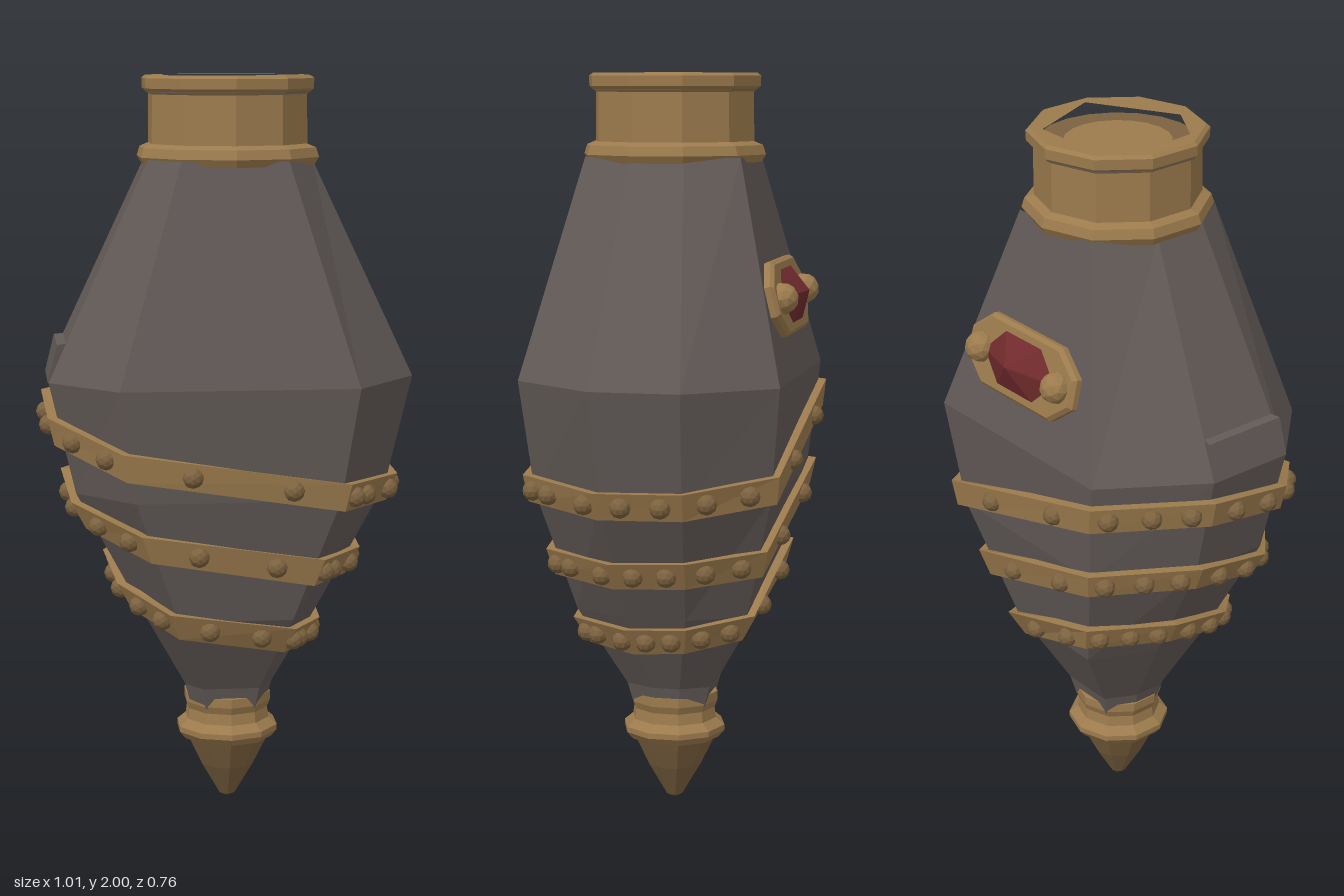
import * as THREE from 'three';

const gunmetal = new THREE.MeshStandardMaterial({ color: 0x625a57 });
const brass = new THREE.MeshStandardMaterial({ color: 0x9c7b4d });
const darkBrass = new THREE.MeshStandardMaterial({ color: 0x7c623f });
const red = new THREE.MeshStandardMaterial({ color: 0x702a2d });

// Eight corners of the body outline, counterclockwise seen from above, from front +x
const CORNERS = [[.64, 1], [1, .33], [1, -.36], [.65, -1], [-.65, -1], [-1, -.25], [-1, .46], [-.64, 1]];
// Body levels: y, half width, half depth
const LEVELS = [[.28, .105, .1], [.34, .12, .115], [.56, .24, .235], [.9, .42, .32], [1.2, .49, .35], [1.78, .22, .21]];

// Point on the body edge i at height y, pushed outward by off
function edgePoint(i, y, off = 0) {
  let k = 0;
  while (k < LEVELS.length - 2 && y > LEVELS[k + 1][0]) k++;
  const [a, b] = [LEVELS[k], LEVELS[k + 1]];
  const t = (y - a[0]) / (b[0] - a[0]);
  const x = CORNERS[i][0] * THREE.MathUtils.lerp(a[1], b[1], t);
  const z = CORNERS[i][1] * THREE.MathUtils.lerp(a[2], b[2], t);
  const s = 1 + off / Math.hypot(x, z);
  return new THREE.Vector3(x * s, y, z * s);
}

// Faceted normals
function flat(geo) {
  const g = geo.index ? geo.toNonIndexed() : geo;
  g.computeVertexNormals();
  return g;
}

// Faceted skin over rows of points
function loft(rows, closed = true) {
  const pts = [];
  for (let j = 0; j < rows.length - 1; j++) {
    const n = rows[j].length;
    for (let i = 0; i < (closed ? n : n - 1); i++) {
      const k = (i + 1) % n;
      const [a, b, c, d] = [rows[j][i], rows[j][k], rows[j + 1][k], rows[j + 1][i]];
      pts.push(a, b, c, a, c, d);
    }
  }
  return flat(new THREE.BufferGeometry().setFromPoints(pts));
}

function lathe(profile, sides) {
  return flat(new THREE.LatheGeometry(profile.map(p => new THREE.Vector2(...p)), sides));
}

function add(parent, name, geo, mat, x = 0, y = 0, z = 0) {
  const m = new THREE.Mesh(geo, mat);
  m.name = name;
  m.position.set(x, y, z);
  parent.add(m);
  return m;
}

export function createModel() {
  const model = new THREE.Group();
  model.name = 'vessel';

  // Faceted body
  add(model, 'body', loft(LEVELS.map(l => CORNERS.map((c, i) => edgePoint(i, l[0])))), gunmetal);

  // Raised plate on the -x shoulder
  const cols = [[5, -.02], [5, 1], [6, 1], [6, -.02]];
  const plateRows = [[1.2, .002], [1.3, .024], [1.305, -.02]].map(([y, off]) =>
    cols.map(([i, o]) => edgePoint(i, y, o === 1 ? off : o)));
  add(model, 'shoulderPlate', loft(plateRows, false), gunmetal);

  // Three sloping bands with rivets; centre height at each body edge
  const bands = [
    [.91, .895, .9, .93, 1.11, 1.11, 1.07, 1.0],
    [.70, .69, .70, .72, .89, .89, .84, .775],
    [.50, .49, .50, .53, .67, .66, .61, .55],
  ];
  const rivetSpots = [[.12, .35, .86], [.3, .75], [.25, .7], [.3, .75], [.15, .5, .82], [.3, .75], [.3, .75], [.3, .75]];
  const rivetGeo = flat(new THREE.IcosahedronGeometry(.028, 1));
  bands.forEach((ys, n) => {
    const g = new THREE.Group();
    g.name = 'band' + (n + 1);
    const h = .037, out = .027;
    const rows = [[-h, -.02], [-h, out], [h, out], [h, -.02]].map(([dy, off]) =>
      ys.map((y, i) => edgePoint(i, y + dy, off)));
    add(g, 'strap', loft(rows), brass);
    ys.forEach((y, i) => {
      const k = (i + 1) % 8;
      const a = edgePoint(i, y, out), b = edgePoint(k, ys[k], out);
      for (const t of rivetSpots[i]) {
        const p = a.clone().lerp(b, t);
        add(g, 'rivet', rivetGeo, darkBrass, p.x, p.y, p.z);
      }
    });
    model.add(g);
  });

  // Neck collar with flange and lip
  add(model, 'collar', lathe([[.15, 1.765], [.238, 1.765], [.25, 1.785], [.242, 1.81], [.218, 1.82],
    [.217, 1.95], [.235, 1.965], [.236, 1.992], [.226, 2]], 10), brass);

  // Rim with an irregular opening and a shallow floor
  const rim = new THREE.Shape();
  for (let i = 0; i < 10; i++) {
    const a = i * Math.PI / 5;
    rim[i ? 'lineTo' : 'moveTo'](.226 * Math.sin(a), .226 * Math.cos(a));
  }
  rim.holes.push(new THREE.Path([[-.11, .165], [.1, .165], [.19, -.045], [-.04, -.175], [-.165, -.1], [-.18, .07]]
    .map(p => new THREE.Vector2(...p))));
  const rimGeo = new THREE.ExtrudeGeometry(rim, { depth: .045, bevelEnabled: false }).rotateX(-Math.PI / 2);
  add(model, 'rim', rimGeo, [brass, gunmetal], 0, 1.955, 0);
  add(model, 'floor', new THREE.CircleGeometry(.21, 20).rotateX(-Math.PI / 2), darkBrass, 0, 1.96, 0);
  add(model, 'floorDisc', new THREE.CircleGeometry(.14, 20).rotateX(-Math.PI / 2), brass, 0, 1.964, 0);

  // Foot ring and pointed tip
  add(model, 'foot', lathe([[.06, .18], [.125, .18], [.142, .2], [.142, .215], [.118, .235], [.114, .265],
    [.122, .285], [.122, .31], [.09, .312]], 10), brass);
  add(model, 'tip', lathe([[0, 0], [.022, .01], [.075, .1], [.115, .182]], 10), darkBrass);

  // Jewel on the back: mount, faceted stone and two beads
  const jewel = new THREE.Group();
  jewel.name = 'jewel';
  const mount = new THREE.Shape([[.21, -.035], [.21, .035], [.14, .09], [-.14, .09], [-.21, .035], [-.21, -.035],
    [-.14, -.09], [.14, -.09]].map(p => new THREE.Vector2(...p)));
  add(jewel, 'mount', new THREE.ExtrudeGeometry(mount, { depth: .035, bevelEnabled: true, bevelSize: .01,
    bevelThickness: .01, bevelSegments: 1 }), brass, 0, 0, -.02);
  const stone = new THREE.ConeGeometry(1, .05, 6).rotateX(Math.PI / 2).rotateZ(Math.PI / 2).scale(.15, .085, 1);
  add(jewel, 'stone', flat(stone), red, 0, 0, .049);
  for (const s of [-1, 1]) add(jewel, 'bead', flat(new THREE.IcosahedronGeometry(.042, 1)), brass, s * .16, 0, .03);
  jewel.position.set(.01, 1.41, -.3);
  jewel.rotation.set(.24, Math.PI, 0);
  model.add(jewel);

  return model;
}
